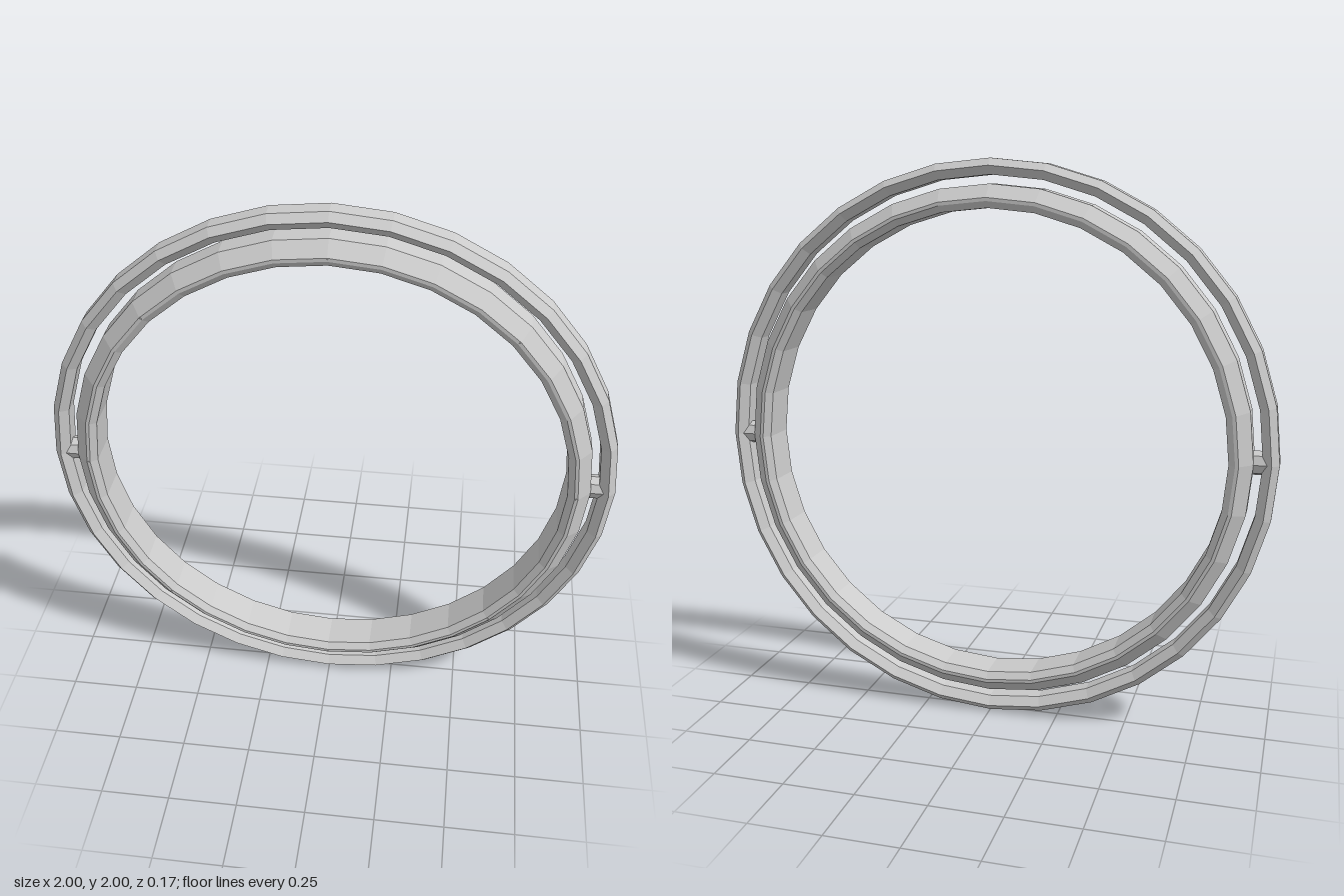
import * as THREE from 'three';

const SIDES = 32;
const material = new THREE.MeshStandardMaterial({ color: 0xcccccc, flatShading: true });

// Closed ring facing z, swept from the front half of a symmetric section,
// listed from the outer edge to the inner edge as [radius, z].
function ring(name, half) {
  const back = half.map(([r, z]) => [r, -z]).reverse();
  const loop = [...half, ...back, half[0]].map(([r, z]) => new THREE.Vector2(r, z));
  const geometry = new THREE.LatheGeometry(loop, SIDES).rotateX(Math.PI / 2);
  const mesh = new THREE.Mesh(geometry, material);
  mesh.name = name;
  return mesh;
}

export function createModel() {
  const model = new THREE.Group();
  model.name = 'gimbalRings';
  const body = new THREE.Group();
  body.name = 'ringAssembly';
  body.position.y = 1;
  model.add(body);

  // Slim outer ring with a hexagonal section
  body.add(ring('outerRing', [[1, 0.03], [0.975, 0.055], [0.945, 0.03]]));

  // Wider inner ring with a broad outer bevel and a narrow inner one
  body.add(ring('innerRing', [[0.915, 0.04], [0.87, 0.084], [0.858, 0.084], [0.835, 0.065]]));

  // Pivot pins joining the rings on both sides
  const pinGeometry = new THREE.CylinderGeometry(0.042, 0.042, 0.06, 8).rotateZ(Math.PI / 2);
  for (const side of [-1, 1]) {
    const pin = new THREE.Mesh(pinGeometry, material);
    pin.name = side > 0 ? 'leftPivotPin' : 'rightPivotPin';
    pin.position.x = side * 0.93;
    body.add(pin);
  }

  // Tiny studs around the front rim of the inner ring
  const studGeometry = new THREE.CylinderGeometry(0.004, 0.004, 0.008, 6).rotateX(Math.PI / 2);
  for (let i = 0; i < 8; i++) {
    const angle = (i * Math.PI) / 4;
    const stud = new THREE.Mesh(studGeometry, material);
    stud.name = 'rimStud';
    stud.position.set(Math.cos(angle) * 0.864, Math.sin(angle) * 0.864, 0.083);
    body.add(stud);
  }

  return model;
}
